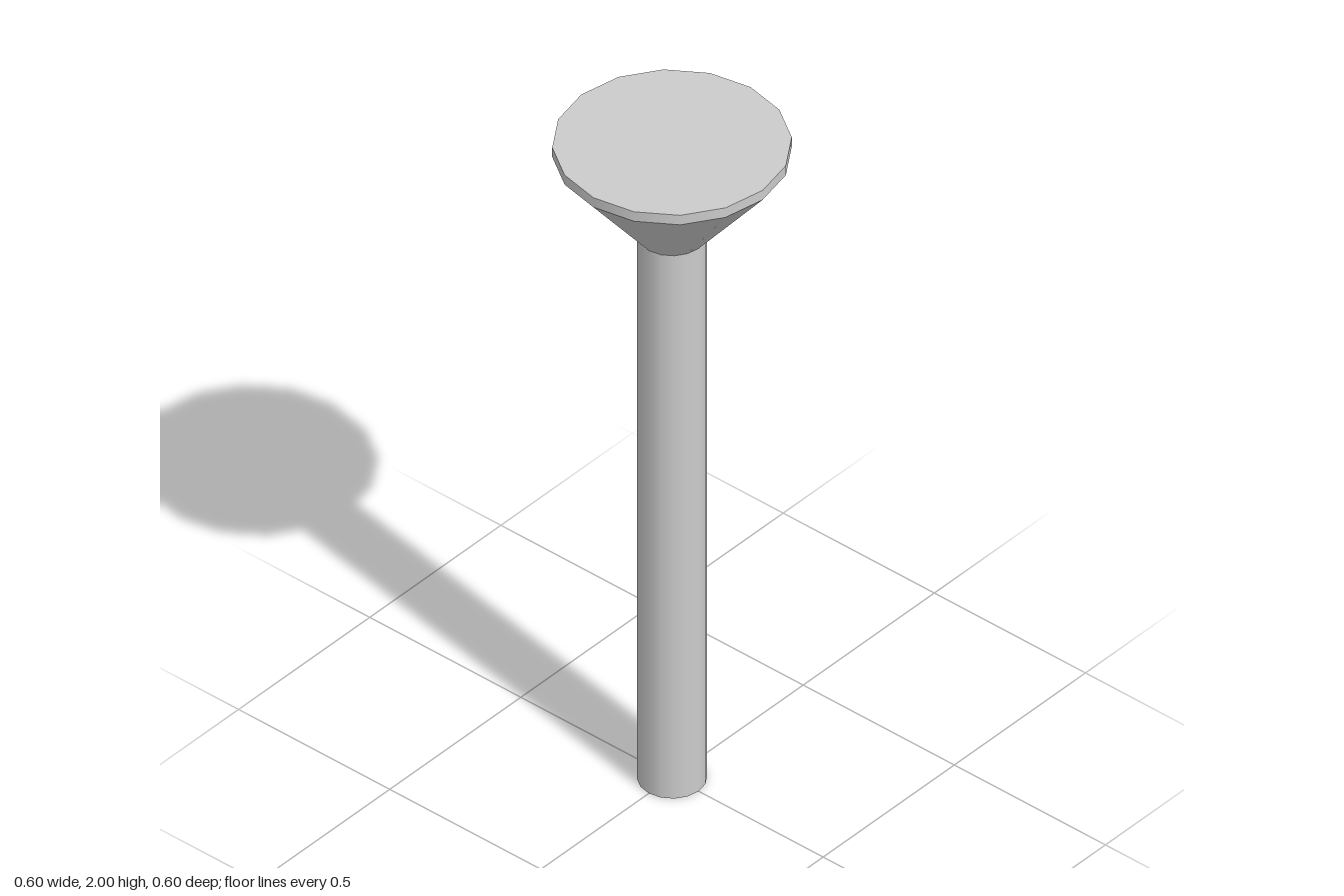
import * as THREE from 'three';

const SIDES = 16;
const SHAFT_R = 0.088, HEAD_R = 0.3;
const SHAFT_TOP = 1.71, CONE_TOP = 1.97, TOP = 2;

export function createModel() {
  const group = new THREE.Group();
  const material = new THREE.MeshStandardMaterial({ color: 0xcccccc, side: THREE.DoubleSide });

  // Open tapered band between two heights
  const band = (name, rBottom, rTop, y0, y1) => {
    const geometry = new THREE.CylinderGeometry(rTop, rBottom, y1 - y0, SIDES, 1, true);
    geometry.translate(0, (y0 + y1) / 2, 0);
    const mesh = new THREE.Mesh(geometry, material);
    mesh.name = name;
    group.add(mesh);
  };

  // Hollow shaft, countersunk cone and thin rim
  band('shaft', SHAFT_R, SHAFT_R, 0, SHAFT_TOP);
  band('headCone', SHAFT_R, HEAD_R, SHAFT_TOP, CONE_TOP);
  band('headRim', HEAD_R, HEAD_R, CONE_TOP, TOP);

  // Flat top of the head
  const disc = new THREE.CircleGeometry(HEAD_R, SIDES);
  disc.rotateX(-Math.PI / 2);
  disc.translate(0, TOP, 0);
  const headTop = new THREE.Mesh(disc, material);
  headTop.name = 'headTop';
  group.add(headTop);

  return group;
}
